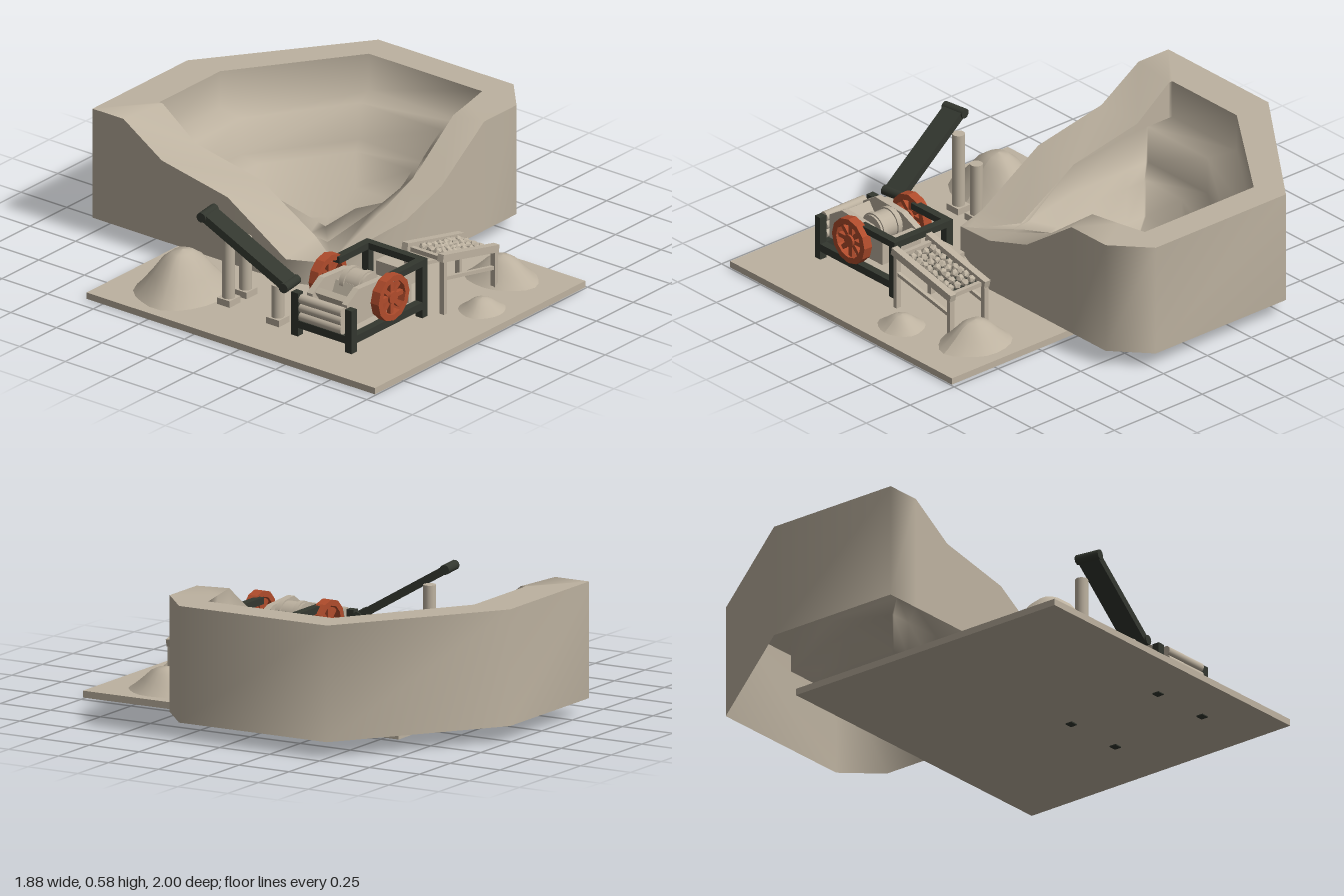
import * as THREE from 'three';

export function createModel() {
  const root = new THREE.Group();
  const stone = new THREE.MeshStandardMaterial({ color: 0xbdb2a0 });
  stone.name = 'sandstone';
  const stoneOpen = new THREE.MeshStandardMaterial({ color: 0xbdb2a0, side: THREE.DoubleSide });
  stoneOpen.name = 'sandstone shell';
  const iron = new THREE.MeshStandardMaterial({ color: 0x33372f });
  iron.name = 'dark iron';
  const rust = new THREE.MeshStandardMaterial({ color: 0xb04c2c });
  rust.name = 'rust orange';

  const add = (name, geo, mat, x = 0, y = 0, z = 0, parent = root) => {
    const m = new THREE.Mesh(geo, mat);
    m.name = name;
    m.position.set(x, y, z);
    parent.add(m);
    return m;
  };
  // box given by its limits
  const box = (name, mat, x0, x1, y0, y1, z0, z1, parent = root) =>
    add(name, new THREE.BoxGeometry(x1 - x0, y1 - y0, z1 - z0), mat,
      (x0 + x1) / 2, (y0 + y1) / 2, (z0 + z1) / 2, parent);
  // bar between two points
  const bar = (name, mat, a, b, w, h, parent = root) => {
    const p = new THREE.Vector3(...a), q = new THREE.Vector3(...b);
    const m = add(name, new THREE.BoxGeometry(w, h, p.distanceTo(q)), mat, 0, 0, 0, parent);
    m.position.copy(p).add(q).multiplyScalar(0.5);
    m.lookAt(q);
    return m;
  };
  // cylinder lying along z
  const roller = (name, mat, r, len, x, y, z, parent = root) =>
    add(name, new THREE.CylinderGeometry(r, r, len, 20).rotateX(Math.PI / 2), mat, x, y, z, parent);

  box('basePlate', stone, -0.945, 0.485, 0.01, 0.04, -0.58, 1);

  // Terraced pit: matching loops of [x, z, y], with the haul road at the low left front
  const outer = [[-0.385, -1, 0.585], [0.26, -1, 0.585], [0.94, -0.5, 0.585], [0.94, 0.24, 0.585],
    [0.78, 0.385, 0.585], [0.56, 0.385, 0.585], [0.27, 0.385, 0.385], [0.03, 0.385, 0.31],
    [-0.32, 0.24, 0.19], [-0.385, 0.06, 0.18], [-0.385, -0.26, 0.38], [-0.385, -0.62, 0.45], [-0.385, -0.83, 0.585]];
  const lip = [[-0.155, -0.82, 0.585], [0.26, -0.82, 0.585], [0.8, -0.44, 0.585], [0.8, 0.18, 0.585],
    [0.67, 0.21, 0.585], [0.53, 0.24, 0.585], [0.26, 0.24, 0.385], [0.03, 0.24, 0.3],
    [-0.28, 0.23, 0.19], [-0.155, 0.04, 0.2], [-0.155, -0.26, 0.38], [-0.155, -0.62, 0.45], [-0.155, -0.8, 0.585]];
  const bench = [[-0.155, -0.68], [0.23, -0.68], [0.67, -0.39], [0.67, 0.06], [0.5, 0.135], [0.4, 0.18],
    [0.26, 0.235], [0.03, 0.2], [-0.15, 0.1], [-0.15, 0], [-0.155, -0.26], [-0.155, -0.55], [-0.155, -0.67]];
  const floor = [[-0.03, -0.56], [0.2, -0.56], [0.56, -0.32], [0.56, -0.01], [0.45, 0.04], [0.35, 0.08],
    [0.26, 0.12], [0.1, 0.05], [-0.03, -0.01], [-0.03, -0.05], [-0.03, -0.26], [-0.03, -0.45], [-0.03, -0.55]];
  // a loop at a terrace level, never above the rim beside it
  const level = (loop, y) => loop.map(([x, z], i) => [x, z, Math.min(y, lip[i][2])]);
  const skin = (name, loops) => {
    const pos = [], idx = [], n = outer.length;
    loops.forEach(l => l.forEach(([x, z, y]) => pos.push(x, y, z)));
    for (let r = 0; r < loops.length - 1; r++) {
      for (let i = 0; i < n; i++) {
        const a = r * n + i, b = r * n + (i + 1) % n;
        idx.push(a, a + n, b, b, a + n, b + n);
      }
    }
    const g = new THREE.BufferGeometry();
    g.setAttribute('position', new THREE.Float32BufferAttribute(pos, 3));
    g.setIndex(idx);
    g.computeVertexNormals();
    add(name, g, stoneOpen);
  };
  skin('pitOuterWall', [level(outer, 0.075), outer]);
  skin('pitRim', [outer, lip]);
  skin('pitTerraces', [lip, level(lip, 0.415), level(bench, 0.415), level(bench, 0.245),
    level(floor, 0.245), level(floor, 0.075), floor.map(() => [0.25, -0.22, 0.075])]);

  // Gravel heaps with a bell profile and an uneven outline
  const heap = (name, x, z, rx, rz, h) => {
    const pts = [[1, 0], [0.87, 0.14], [0.64, 0.45], [0.42, 0.78], [0.22, 0.95], [0, 1]];
    const g = new THREE.LatheGeometry(pts.map(p => new THREE.Vector2(...p)), 20);
    const p = g.attributes.position;
    for (let i = 0; i < p.count; i++) {
      const a = Math.atan2(p.getZ(i), p.getX(i));
      const k = 1 + 0.03 * Math.sin(3 * a + x * 9) + 0.02 * Math.sin(5 * a);
      p.setXYZ(i, p.getX(i) * k * rx, p.getY(i) * h, p.getZ(i) * k * rz);
    }
    g.computeVertexNormals();
    add(name, g, stoneOpen, x, 0.04, z);
  };
  heap('largeHeap', -0.665, -0.28, 0.23, 0.195, 0.19);
  heap('coarseHeap', 0.295, 0.7, 0.14, 0.17, 0.105);
  heap('fineHeap', -0.02, 0.84, 0.105, 0.1, 0.055);

  // Crusher frame
  const crusher = new THREE.Group();
  crusher.name = 'crusher';
  root.add(crusher);
  for (const z of [0.39, 0.685]) {
    const z0 = z - 0.018, z1 = z + 0.018;
    box('rearPost', iron, -0.735, -0.7, 0.005, 0.24, z0, z1, crusher);
    box('frontPost', iron, -0.255, -0.22, 0.005, 0.31, z0, z1, crusher);
    box('lowerRail', iron, -0.735, -0.22, 0.08, 0.115, z0, z1, crusher);
    box('upperRail', iron, -0.45, -0.22, 0.28, 0.31, z0, z1, crusher);
  }
  box('frontCrossbar', iron, -0.255, -0.22, 0.28, 0.31, 0.39, 0.685, crusher);
  box('rearCrossbar', iron, -0.735, -0.7, 0.08, 0.115, 0.39, 0.685, crusher);

  // Crusher body: two cheeks, jaws and back ribs
  const cheek = new THREE.Shape([[-0.7, 0.13], [-0.36, 0.13], [-0.36, 0.24], [-0.45, 0.28], [-0.62, 0.29], [-0.7, 0.24]]
    .map(p => new THREE.Vector2(...p)));
  for (const z of [0.43, 0.62]) {
    add('cheekPlate', new THREE.ExtrudeGeometry(cheek, { depth: 0.03, bevelEnabled: false }), stone, 0, 0, z, crusher);
  }
  box('bodyFloor', stone, -0.68, -0.37, 0.13, 0.18, 0.45, 0.63, crusher);
  box('endPlate', stone, -0.385, -0.36, 0.13, 0.235, 0.45, 0.63, crusher);
  bar('fixedJaw', stone, [-0.67, 0.25, 0.54], [-0.6, 0.15, 0.54], 0.17, 0.03, crusher);
  bar('swingJaw', stone, [-0.53, 0.25, 0.54], [-0.58, 0.14, 0.54], 0.15, 0.04, crusher);
  for (const y of [0.14, 0.18, 0.22]) roller('backRib', stone, 0.022, 0.23, -0.73, y, 0.54, crusher);
  roller('axle', stone, 0.015, 0.38, -0.485, 0.225, 0.54, crusher);
  roller('eccentricDrum', stone, 0.065, 0.12, -0.485, 0.235, 0.54, crusher);
  for (const z of [0.5, 0.58]) roller('drumCollar', stone, 0.072, 0.02, -0.485, 0.235, z, crusher);
  box('outletChute', stone, -0.22, -0.09, 0.13, 0.22, 0.42, 0.57);

  // Spoked flywheels
  const ring = new THREE.Shape().absarc(0, 0, 0.105, 0, Math.PI * 2);
  ring.holes.push(new THREE.Path().absarc(0, 0, 0.078, 0, Math.PI * 2, true));
  for (const z of [0.372, 0.712]) {
    const wheel = new THREE.Group();
    wheel.name = 'flywheel';
    wheel.position.set(-0.485, 0.225, z);
    root.add(wheel);
    add('wheelRim', new THREE.ExtrudeGeometry(ring, { depth: 0.044, bevelEnabled: false, curveSegments: 6 }),
      rust, 0, 0, -0.022, wheel);
    roller('wheelHub', rust, 0.028, 0.042, 0, 0, 0, wheel);
    for (let i = 0; i < 4; i++) {
      add('spokePair', new THREE.BoxGeometry(0.17, 0.02, 0.02), rust, 0, 0, 0, wheel).rotation.z = i * Math.PI / 4;
    }
  }

  // Conveyor with its rollers
  const beltEnds = [[-0.73, 0.475, -0.09], [-0.667, 0.235, 0.31]];
  bar('conveyorBelt', iron, ...beltEnds, 0.1, 0.035);
  for (const [x, y, z] of beltEnds) {
    add('beltRoller', new THREE.CylinderGeometry(0.022, 0.022, 0.115, 14).rotateZ(Math.PI / 2), iron, x, y, z)
      .rotation.y = 0.15;
  }
  // Round pillars on square feet
  for (const [x, z, y] of [[-0.65, -0.04, 0.41], [-0.535, -0.04, 0.31], [-0.675, 0.25, 0.22]]) {
    add('pillar', new THREE.CylinderGeometry(0.028, 0.028, y - 0.04, 16), stone, x, (y + 0.04) / 2, z);
    box('pillarFoot', stone, x - 0.037, x + 0.037, 0.04, 0.07, z - 0.035, z + 0.035);
  }

  // Sloping screen with stones on its deck
  const slopeY = x => 0.265 - 0.22 * (x - 0.01);
  for (const z of [0.547, 0.742]) {
    bar('screenRail', stone, [-0.18, slopeY(-0.18), z], [0.2, slopeY(0.2), z], 0.032, 0.034);
    bar('lowerBrace', stone, [-0.16, 0.205, z], [0.19, 0.135, z], 0.016, 0.016);
    box('screenLegHigh', stone, -0.17, -0.15, 0.04, 0.29, z - 0.012, z + 0.012);
    box('screenLegLow', stone, 0.175, 0.195, 0.04, 0.225, z - 0.012, z + 0.012);
  }
  bar('screenDeck', iron, [-0.13, slopeY(-0.13) - 0.015, 0.645], [0.16, slopeY(0.16) - 0.015, 0.645], 0.17, 0.01);
  for (const x of [-0.15, 0.17]) {
    box('screenCrossbar', stone, x - 0.01, x + 0.01, slopeY(x) - 0.02, slopeY(x), 0.55, 0.74);
  }
  const pebble = new THREE.IcosahedronGeometry(0.02, 0);
  for (let i = 0; i < 8; i++) {
    for (let j = 0; j < 4; j++) {
      const x = -0.105 + i * 0.035 + 0.005 * Math.sin(i * 5 + j * 3);
      const m = add('pebble', pebble, stone, x, slopeY(x), 0.588 + j * 0.038 + 0.005 * Math.sin(i * 7 + j));
      m.rotation.set(i * 1.3, j * 1.7, i + j);
    }
  }
  return root;
}
